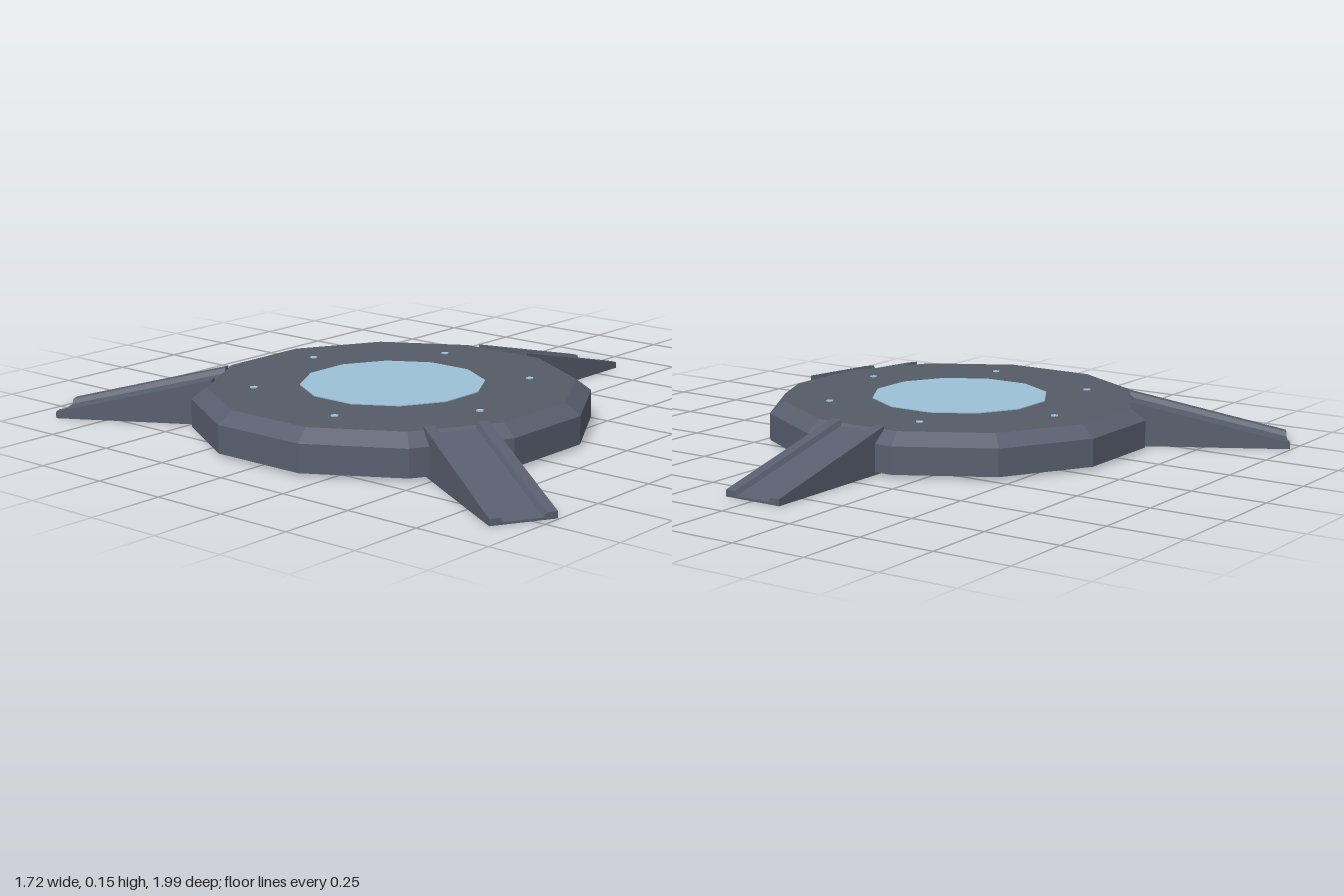
import * as THREE from 'three';

const CX = -0.228; // hub centre; the three ramps radiate from here

export function createModel() {
  const group = new THREE.Group();
  const mat = (name, color) => {
    const m = new THREE.MeshStandardMaterial({ color, flatShading: true });
    m.name = name;
    return m;
  };
  const frame = mat('slate frame', 0x585f6e);
  const deck = mat('grey deck', 0x555c66);
  const glow = mat('pale blue light', 0x9cc1d8);

  const hub = new THREE.Group();
  hub.name = 'platform';
  hub.position.x = CX;
  group.add(hub);
  const add = (name, geo, material, y = 0) => {
    const mesh = new THREE.Mesh(geo, material);
    mesh.name = name;
    mesh.position.y = y;
    hub.add(mesh);
    return mesh;
  };
  // Twelve-sided drum with flats facing the axes
  const drum = (rTop, rBottom, h) =>
    new THREE.CylinderGeometry(rTop, rBottom, h, 12).rotateY(Math.PI / 12);

  add('platformBase', drum(0.639, 0.639, 0.09), frame, 0.055);
  // Bevelled rim, with the deck colour on its top cap
  add('platformRim', drum(0.589, 0.639, 0.038), [frame, deck, frame], 0.119);
  add('centreLight', drum(0.296, 0.296, 0.004), glow, 0.138 + 0.001);

  // Six small lights around the deck
  for (let i = 0; i < 6; i++) {
    const a = THREE.MathUtils.degToRad(17.5 + i * 60);
    const light = add('deckLight', new THREE.CylinderGeometry(0.013, 0.013, 0.004, 6), glow, 0.139);
    light.position.x = 0.442 * Math.cos(a);
    light.position.z = -0.442 * Math.sin(a);
  }

  // Three sloping ramps with raised side rails
  const ramp = rampGeometry();
  for (let i = 0; i < 3; i++) add('ramp', ramp, frame).rotation.y = (i * Math.PI * 2) / 3;
  return group;
}

// Channel section lofted from the hub down to the tip
function rampGeometry() {
  const section = (rail, floor) => [
    [-0.102, 0], [-0.102, rail], [-0.068, rail], [-0.06, floor],
    [0.06, floor], [0.068, rail], [0.102, rail], [0.102, 0],
  ];
  const shapeAt = (x, rail, floor) => section(rail, floor).map(([z, y]) => new THREE.Vector3(x, y, z));
  const inner = shapeAt(0.568, 0.148, 0.132);
  const outer = shapeAt(1.09, 0.021, 0.007);
  const pos = [];
  const tri = (...pts) => pts.forEach((p) => pos.push(p.x, p.y, p.z));
  const n = inner.length;
  for (let i = 0; i < n; i++) {
    const j = (i + 1) % n;
    tri(inner[i], inner[j], outer[j]);
    tri(inner[i], outer[j], outer[i]);
  }
  // End caps
  const flat = outer.map((p) => new THREE.Vector2(p.z, p.y));
  for (const [a, b, c] of THREE.ShapeUtils.triangulateShape(flat, [])) {
    for (const [ring, sign] of [[outer, 1], [inner, -1]]) {
      const normal = new THREE.Vector3().crossVectors(
        ring[b].clone().sub(ring[a]), ring[c].clone().sub(ring[a]));
      if (normal.x * sign > 0) tri(ring[a], ring[b], ring[c]);
      else tri(ring[a], ring[c], ring[b]);
    }
  }
  // Make the loft faces point outward
  const geo = new THREE.BufferGeometry();
  geo.setAttribute('position', new THREE.Float32BufferAttribute(pos, 3));
  geo.computeVertexNormals();
  return geo;
}
